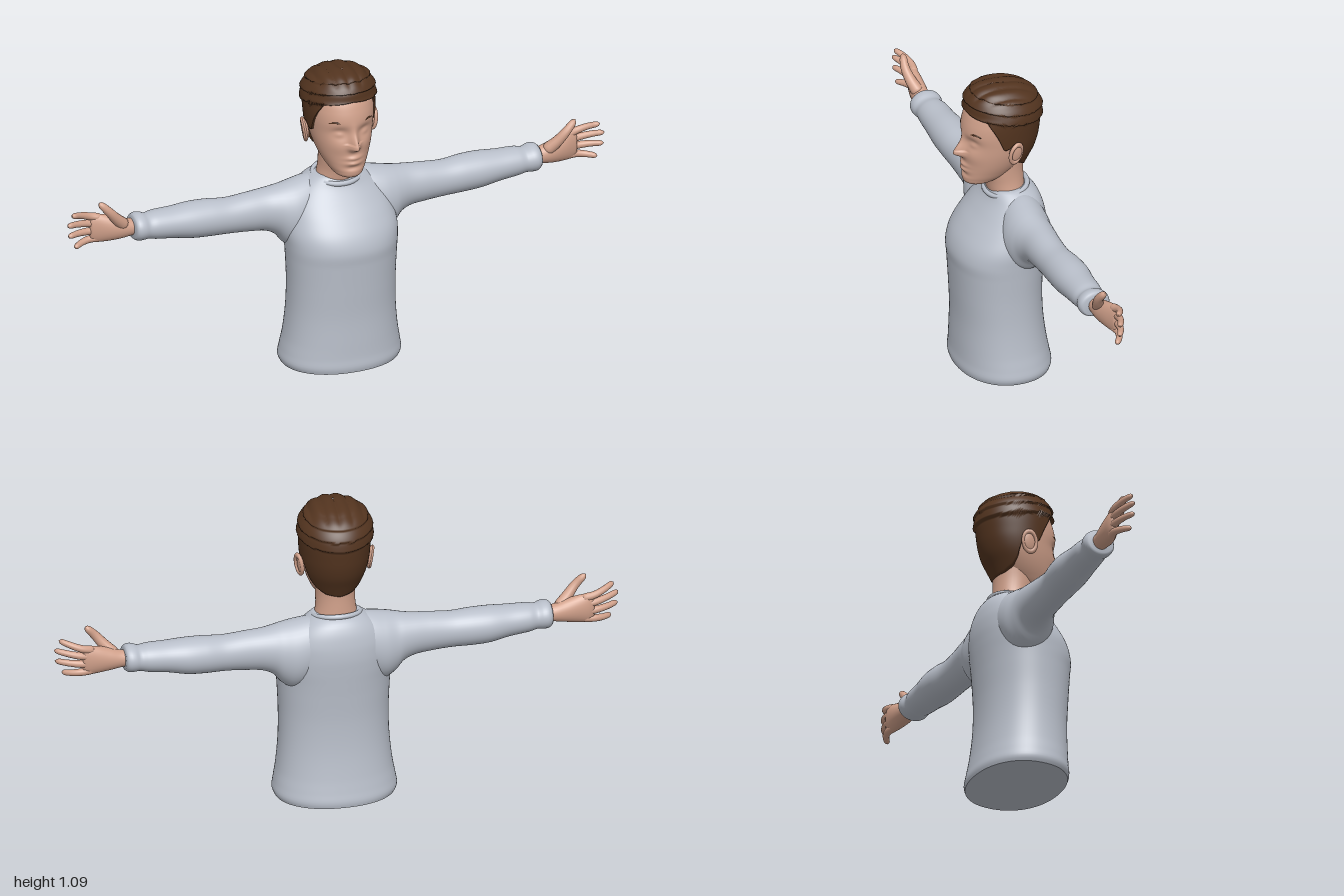
import * as THREE from 'three';

const mat = (name, color) => {
  const m = new THREE.MeshStandardMaterial({ color });
  m.name = name;
  return m;
};

// Surface closed around u, rows along v; f(a, j) gives a point
function grid(nu, rows, f) {
  const pos = [], idx = [];
  for (let j = 0; j < rows; j++)
    for (let i = 0; i < nu; i++) pos.push(...f((i / nu) * Math.PI * 2, j));
  for (let j = 0; j < rows - 1; j++)
    for (let i = 0; i < nu; i++) {
      const a = j * nu + i, b = j * nu + ((i + 1) % nu);
      idx.push(a, b, b + nu, a, b + nu, a + nu);
    }
  const g = new THREE.BufferGeometry();
  g.setAttribute('position', new THREE.Float32BufferAttribute(pos, 3));
  g.setIndex(idx);
  g.computeVertexNormals();
  return g;
}

// Smooth lookup in a table of [t, ...values]
function curveTable(rows) {
  const n = rows[0].length - 1;
  const c = new THREE.CubicInterpolant(rows.map(r => r[0]), rows.flatMap(r => r.slice(1)), n, new Float32Array(n));
  return t => Array.from(c.evaluate(t));
}

const power = (v, e) => Math.sign(v) * Math.abs(v) ** e;

// Upright body from sections [y, halfWidth, zFront, zBack]
function loftY(table, nu, nv, { e = 1, openBottom = false, shape = p => p } = {}) {
  const at = curveTable(table), y0 = table[0][0], y1 = table.at(-1)[0];
  return grid(nu, nv + 3, (a, j) => {
    const y = y0 + (y1 - y0) * THREE.MathUtils.clamp((j - 1) / nv, 0, 1);
    const [hx, zf, zb] = at(y), k = (j === 0 && !openBottom) || j === nv + 2 ? 0 : 1;
    return shape([k * hx * power(Math.sin(a), e), y, (zf + zb) / 2 + k * (zf - zb) / 2 * power(Math.cos(a), e)]);
  });
}

// Sideways body from sections [x, yLow, yHigh, zBack, zFront]
function loftX(table, nu, nv) {
  const at = curveTable(table), x0 = table[0][0], x1 = table.at(-1)[0];
  return grid(nu, nv + 3, (a, j) => {
    const x = x0 + (x1 - x0) * THREE.MathUtils.clamp((j - 1) / nv, 0, 1);
    const [yl, yh, zb, zf] = at(x), k = j === 0 || j === nv + 2 ? 0 : 1;
    return [x, (yl + yh) / 2 + k * (yh - yl) / 2 * Math.cos(a), (zb + zf) / 2 + k * (zf - zb) / 2 * Math.sin(a)];
  });
}

// Tapered round-ended limb along a curve
function limb(points, r0, r1, nu = 14, nv = 22) {
  const c = new THREE.CatmullRomCurve3(points.map(p => new THREE.Vector3(...p)));
  const fr = c.computeFrenetFrames(nv);
  return grid(nu, nv + 1, (a, j) => {
    const t = j / nv, d = Math.max(0, 1 - Math.min(t, 1 - t) / 0.14);
    const r = (r0 + (r1 - r0) * t) * Math.sqrt(Math.max(0, 1 - d * d));
    return c.getPointAt(t).addScaledVector(fr.normals[j], r * Math.cos(a))
      .addScaledVector(fr.binormals[j], r * Math.sin(a)).toArray();
  });
}

function mirrored(geo) {
  const g = geo.clone().scale(-1, 1, 1), ix = g.index.array;
  for (let i = 0; i < ix.length; i += 3) [ix[i], ix[i + 1]] = [ix[i + 1], ix[i]];
  g.computeVertexNormals();
  return g;
}

const bump = (v, c, w) => Math.exp(-(((v - c) / w) ** 2));

// Nose, eye sockets, lids, lips and chin pressed into the face
function face([x, y, z]) {
  if (z < 0.03) return [x, y, z];
  const ax = Math.abs(x);
  const noseH = y > 0.838 ? bump(y, 0.838, 0.045) : bump(y, 0.838, 0.015);
  const noseW = y > 0.85 ? 0.013 : 0.018;
  let d = 0.038 * noseH * bump(x, 0, noseW);
  d -= 0.013 * bump(ax, 0.045, 0.026) * bump(y, 0.887, 0.02);
  d += 0.008 * bump(ax, 0.047, 0.016) * bump(y, 0.882, 0.011);
  d += 0.008 * bump(x, 0, 0.026) * (bump(y, 0.793, 0.008) + bump(y, 0.774, 0.008));
  d -= 0.006 * bump(x, 0, 0.03) * bump(y, 0.756, 0.009);
  d += 0.004 * bump(ax, 0.05, 0.03) * bump(y, 0.835, 0.025);
  return [x, y, z + d];
}

// Hairline height by angle from the front, in degrees
const hairline = [[0, 1.0], [45, 0.99], [60, 0.955], [69, 0.925], [78, 0.875], [86, 0.88], [94, 0.9],
  [103, 0.875], [113, 0.82], [125, 0.79], [145, 0.77], [181, 0.76]];
function hairlineAt(a) {
  const d = THREE.MathUtils.radToDeg(a > Math.PI ? 2 * Math.PI - a : a);
  const i = hairline.findIndex(h => h[0] > d), [d0, y0] = hairline[i - 1], [d1, y1] = hairline[i];
  return y0 + (y1 - y0) * (d - d0) / (d1 - d0);
}

function hairGeometry() {
  const at = curveTable([[0.75, 0.074, 0.1, -0.084], [0.8, 0.097, 0.12, -0.108], [0.84, 0.11, 0.128, -0.128],
    [0.88, 0.118, 0.133, -0.14], [0.92, 0.122, 0.136, -0.146], [0.96, 0.124, 0.13, -0.149], [1.0, 0.123, 0.115, -0.147],
    [1.03, 0.114, 0.113, -0.132], [1.06, 0.09, 0.094, -0.1], [1.078, 0.055, 0.065, -0.05], [1.086, 0.003, 0.023, 0.017]]);
  const rows = 72, top = 1.086;
  return grid(112, rows, (a, j) => {
    const low = hairlineAt(a), v = Math.max(0, j - 1) / (rows - 2);
    const y = low + (top - low) * Math.sin(v * Math.PI / 2);
    const [hx, zf, zb] = at(y), cz = (zf + zb) / 2, rz = (zf - zb) / 2;
    // overlapping swept layers on the upper part
    const p = (y - 0.15 * rz * Math.cos(a) - 0.975) / 0.036;
    const fade = 1 - THREE.MathUtils.smoothstep(y, 1.045, 1.08);
    const d = p > 0 ? 0.009 * fade * (1 - 0.8 * (p % 1)) : 0;
    const k = j === 0 ? 0.86 : 1;
    const x = k * (hx + d) * Math.sin(a), z = cz + k * (rz + d) * Math.cos(a);
    const groove = 0.006 * (Math.abs(Math.sin(x * 70 + z * 4)) - 0.6) * THREE.MathUtils.smoothstep(y, 1.03, 1.07);
    return [x, y + groove, z];
  });
}

export function createModel() {
  const model = new THREE.Group();
  const shirt = mat('shirt grey', 0xb9bfca), skin = mat('skin', 0xd0a08a), brown = mat('hair brown', 0x53341f);
  const add = (name, geo, m) => {
    const mesh = new THREE.Mesh(geo, m);
    mesh.name = name;
    model.add(mesh);
  };
  const pair = (name, geo, m) => {
    add(name + 'Left', geo, m);
    add(name + 'Right', mirrored(geo), m);
  };

  // Sweater body, underside and collar
  const body = [[0, 0.208, 0.157, -0.167], [0.015, 0.215, 0.161, -0.17], [0.05, 0.211, 0.159, -0.164], [0.1, 0.202, 0.158, -0.155],
    [0.2, 0.192, 0.157, -0.143], [0.3, 0.19, 0.162, -0.14], [0.4, 0.194, 0.168, -0.145], [0.45, 0.197, 0.171, -0.149],
    [0.5, 0.199, 0.156, -0.153], [0.55, 0.19, 0.124, -0.155], [0.6, 0.174, 0.084, -0.15], [0.65, 0.135, 0.048, -0.135],
    [0.675, 0.102, 0.038, -0.118], [0.688, 0.08, 0.03, -0.098]];
  add('sweaterBody', loftY(body, 72, 80, { e: 0.92, openBottom: true }), shirt);
  const [, hemX, hemF, hemB] = body[0];
  add('sweaterUnderside', grid(72, 2, (a, j) => [j * hemX * power(Math.sin(a), 0.92), 0,
    (hemF + hemB) / 2 + j * (hemF - hemB) / 2 * power(Math.cos(a), 0.92)]), shirt);
  const collar = new THREE.CatmullRomCurve3(Array.from({ length: 16 }, (_, i) => {
    const a = i / 16 * Math.PI * 2;
    return new THREE.Vector3(0.083 * Math.sin(a), 0.676 - 0.014 * Math.cos(a), -0.028 + 0.072 * Math.cos(a));
  }), true);
  add('collar', new THREE.TubeGeometry(collar, 64, 0.009, 10, true), shirt);

  // Sleeves with a thicker cuff
  pair('sleeve', loftX([[0.04, 0.5, 0.672, -0.12, 0.02], [0.1, 0.45, 0.677, -0.13, 0.04], [0.16, 0.425, 0.668, -0.13, 0.05],
    [0.2, 0.447, 0.66, -0.12, 0.042], [0.225, 0.478, 0.655, -0.115, 0.032], [0.26, 0.497, 0.65, -0.11, 0.022], [0.32, 0.506, 0.645, -0.104, 0.018],
    [0.4, 0.512, 0.639, -0.103, 0.016], [0.47, 0.514, 0.644, -0.112, 0.018], [0.53, 0.518, 0.645, -0.114, 0.018], [0.6, 0.531, 0.641, -0.105, 0.014],
    [0.67, 0.54, 0.639, -0.1, 0.01], [0.7, 0.546, 0.635, -0.094, 0.007], [0.715, 0.545, 0.641, -0.099, 0.012], [0.74, 0.547, 0.641, -0.098, 0.011],
    [0.75, 0.555, 0.633, -0.09, 0.003]], 40, 110), shirt);

  // Hands: palm forward, thumb up
  pair('palm', loftX([[0.72, 0.568, 0.622, -0.072, -0.02], [0.76, 0.565, 0.626, -0.074, -0.016], [0.8, 0.559, 0.64, -0.078, -0.016],
    [0.85, 0.555, 0.655, -0.08, -0.028], [0.88, 0.556, 0.658, -0.078, -0.04], [0.898, 0.566, 0.648, -0.072, -0.048]], 28, 24), skin);
  const fingers = { index: [0.643, 0.975, 0.68], middle: [0.619, 0.992, 0.645], ring: [0.594, 0.989, 0.605], little: [0.57, 0.965, 0.56] };
  for (const [name, [y, tx, ty]] of Object.entries(fingers))
    pair(name + 'Finger', limb([[0.855, y, -0.056], [0.9, y + (ty - y) * 0.3, -0.062], [(0.9 + tx) / 2, y + (ty - y) * 0.65, -0.052], [tx, ty, -0.03]],
      0.015, 0.0095), skin);
  pair('thumb', limb([[0.775, 0.605, -0.042], [0.815, 0.645, -0.024], [0.845, 0.68, -0.016], [0.88, 0.717, -0.022]], 0.024, 0.0115), skin);

  // Neck and head
  add('neck', loftY([[0.63, 0.085, 0.025, -0.095], [0.67, 0.076, 0.038, -0.091], [0.71, 0.069, 0.047, -0.089], [0.75, 0.068, 0.06, -0.088],
    [0.8, 0.07, 0.06, -0.09]], 40, 16), skin);
  add('head', loftY([[0.712, 0.02, 0.108, 0.05], [0.72, 0.041, 0.123, 0.025], [0.74, 0.06, 0.131, -0.025], [0.77, 0.077, 0.13, -0.06],
    [0.8, 0.09, 0.129, -0.085], [0.84, 0.102, 0.129, -0.112], [0.88, 0.109, 0.128, -0.126], [0.92, 0.113, 0.131, -0.134], [0.96, 0.114, 0.124, -0.138],
    [1.0, 0.108, 0.107, -0.13], [1.04, 0.08, 0.07, -0.09], [1.058, 0.03, 0.02, -0.03]], 112, 110, { e: 0.97, shape: face }), skin);
  add('hair', hairGeometry(), brown);
  pair('eyebrow', limb([[0.034, 0.922, 0.12], [0.058, 0.928, 0.111], [0.08, 0.922, 0.091]], 0.004, 0.003), brown);

  // Ears: inner shell and rim
  const placeEar = g => g.rotateX(-0.15).rotateZ(-0.12).translate(0.122, 0.865, -0.014);
  pair('ear', placeEar(new THREE.SphereGeometry(1, 20, 16).scale(0.01, 0.038, 0.024)), skin);
  pair('earRim', placeEar(new THREE.TorusGeometry(0.023, 0.006, 10, 28).scale(1, 1.55, 1.2).rotateY(Math.PI / 2 + 0.25).translate(0.004, 0, 0)), skin);

  return model;
}
